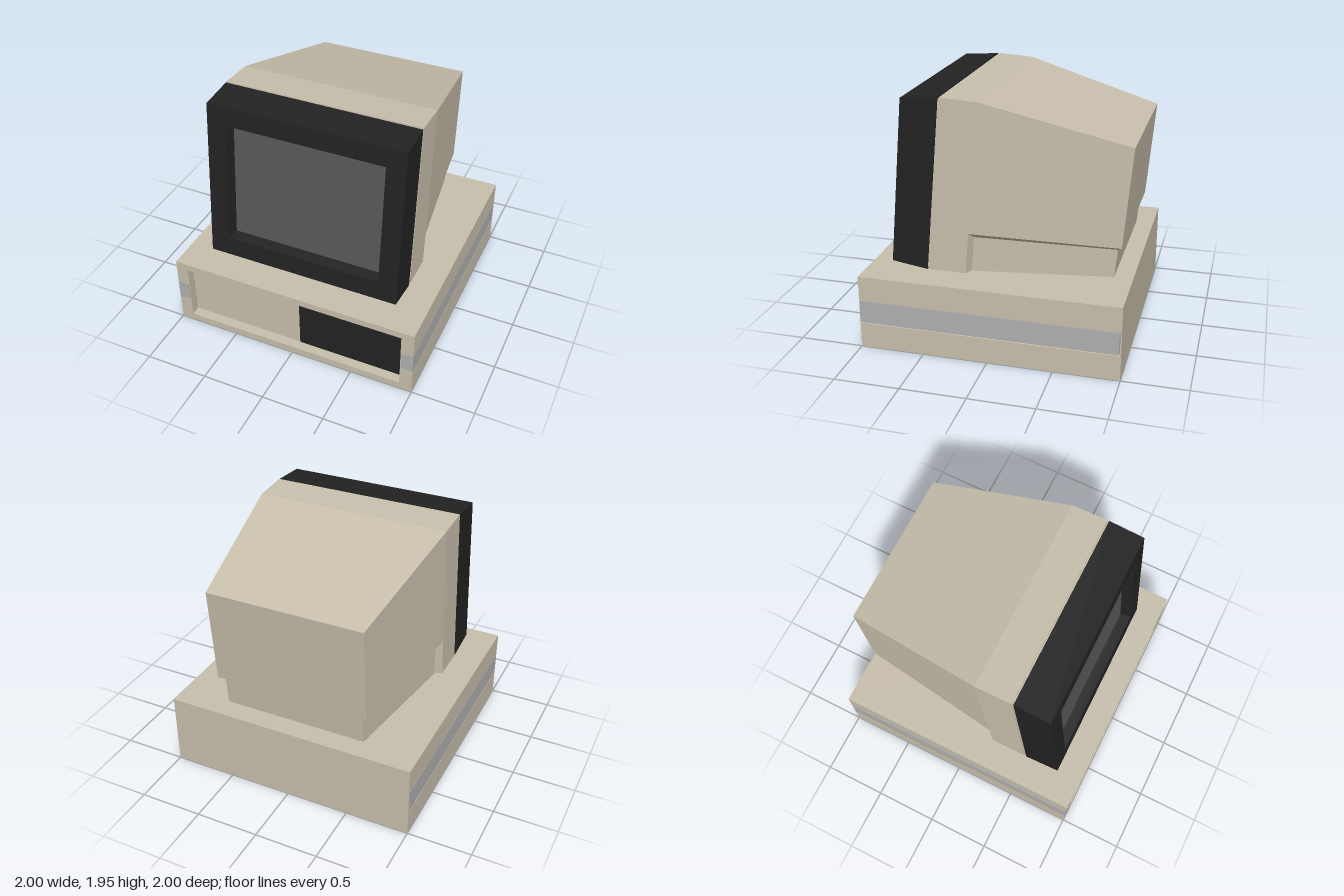
import * as THREE from 'three';
import { ConvexGeometry } from 'three/addons/geometries/ConvexGeometry.js';

const paint = (color, extra = {}) => new THREE.MeshStandardMaterial({ color, ...extra });
const beige = paint(0xc8bfac, { flatShading: true });
const black = paint(0x222222, { flatShading: true });
const grey = paint(0xb0b0b0);
const glass = paint(0x575757);

function add(parent, name, geometry, material) {
  const mesh = new THREE.Mesh(geometry, material);
  mesh.name = name;
  parent.add(mesh);
  return mesh;
}

function box(parent, name, material, [x0, x1], [y0, y1], [z0, z1]) {
  const mesh = add(parent, name, new THREE.BoxGeometry(x1 - x0, y1 - y0, z1 - z0), material);
  mesh.position.set((x0 + x1) / 2, (y0 + y1) / 2, (z0 + z1) / 2);
  return mesh;
}

// Outline in x and y, extruded between two z values
function extrude(shape, z0, z1) {
  return new THREE.ExtrudeGeometry(shape, { depth: z1 - z0, bevelEnabled: false }).translate(0, 0, z0);
}
const outline = (pts) => new THREE.Shape(pts.map(([x, y]) => new THREE.Vector2(x, y)));

// Convex block, symmetric in x, from side-profile corners [z, y, halfWidth]
function block(corners) {
  return new ConvexGeometry(corners.flatMap(([z, y, w]) =>
    [new THREE.Vector3(-w, y, z), new THREE.Vector3(w, y, z)]));
}

// Loft through rectangles [bottom, top, halfWidth, z], running outwards from the back
function rectLoft(rings) {
  const pos = [];
  const loops = rings.map(([b, t, w, z]) => [[-w, b, z], [w, b, z], [w, t, z], [-w, t, z]]);
  const quad = (a, b, c, d) => pos.push(...a, ...b, ...c, ...a, ...c, ...d);
  for (let i = 0; i < loops.length - 1; i++) {
    for (let k = 0; k < 4; k++) {
      const n = (k + 1) % 4;
      quad(loops[i][k], loops[i][n], loops[i + 1][n], loops[i + 1][k]);
    }
  }
  const [a, b, c, d] = loops[0];
  quad(d, c, b, a);
  const g = new THREE.BufferGeometry();
  g.setAttribute('position', new THREE.Float32BufferAttribute(pos, 3));
  g.computeVertexNormals();
  return g;
}

function createCase() {
  const unit = new THREE.Group();
  unit.name = 'systemUnit';
  const H = 0.585, recess = 0.925;
  // Outline with a tapered groove in each side
  const profile = () => outline([
    [-1, 0], [1, 0], [1, 0.2], [0.908, 0.215], [0.908, 0.375], [1, 0.39], [1, H],
    [-1, H], [-1, 0.39], [-0.908, 0.375], [-0.908, 0.215], [-1, 0.2]]);
  add(unit, 'caseBody', extrude(profile(), -0.99, recess), beige);
  box(unit, 'caseBack', beige, [-1, 1], [0, H], [-1, -0.99]);

  const front = profile();
  front.holes.push(new THREE.Path([[-0.9, 0.06], [-0.9, 0.53], [0.9, 0.53], [0.9, 0.06]]
    .map(([x, y]) => new THREE.Vector2(x, y))));
  add(unit, 'frontFrame', extrude(front, recess, 1), beige);
  box(unit, 'drivePanel', black, [0.04, 0.89], [0.07, 0.515], [recess - 0.01, recess + 0.01]);

  // Inlaid side strips
  for (const s of [1, -1]) {
    const strip = outline([[s, 0.206], [s * 0.912, 0.221], [s * 0.912, 0.369], [s, 0.384]]);
    add(unit, s > 0 ? 'leftStrip' : 'rightStrip', extrude(strip, -0.985, 1), grey);
  }
  return unit;
}

function createMonitor() {
  const monitor = new THREE.Group();
  monitor.name = 'monitor';

  // Tilted bezel with a sloping recess around the screen
  const bezel = new THREE.Group();
  bezel.name = 'bezel';
  bezel.position.set(0, 0.645, 0.805);
  bezel.rotation.x = -0.0896;
  add(bezel, 'bezelFrame', rectLoft([
    [-0.015, 1.33, 0.775, -0.28],
    [0, 1.285, 0.775, 0],
    [0.156, 1.137, 0.625, 0],
    [0.181, 1.112, 0.6, -0.08]]), black);
  const screen = add(bezel, 'screen', new THREE.PlaneGeometry(1.2, 0.931), glass);
  screen.position.set(0, 0.6465, -0.08);
  monitor.add(bezel);

  // Narrow seam behind the bezel
  add(monitor, 'seam', block([
    [0.42, 1.935, 0.765], [0.38, 1.935, 0.765], [0.5, 0.615, 0.765], [0.53, 0.615, 0.765]]), beige);
  // Full-height collar
  const W = 0.775;
  add(monitor, 'collar', block([
    [0.395, 1.947, W], [0.11, 1.93, W], [0.225, 0.605, W], [0.51, 0.605, W]]), beige);
  // Tapering rear housing
  add(monitor, 'rearHousing', block([
    [0.11, 1.93, W], [0.197, 0.925, W], [-0.985, 1.635, 0.62], [-0.92, 0.865, 0.62]]), beige);
  // Chamfers leading into the narrower foot
  add(monitor, 'housingLip', block([
    [0.197, 0.925, W], [-0.92, 0.865, 0.62], [0.17, 0.882, 0.72], [-0.885, 0.835, 0.575]]), beige);
  add(monitor, 'collarChamfer', block([
    [0.197, 0.925, W], [0.225, 0.605, W], [0.17, 0.882, 0.72], [0.195, 0.605, 0.72]]), beige);
  add(monitor, 'foot', block([
    [0.17, 0.882, 0.72], [0.195, 0.605, 0.72], [-0.885, 0.835, 0.575], [-0.865, 0.613, 0.575]]), beige);
  return monitor;
}

export function createModel() {
  const model = new THREE.Group();
  model.name = 'desktopComputer';
  model.add(createCase(), createMonitor());
  return model;
}
